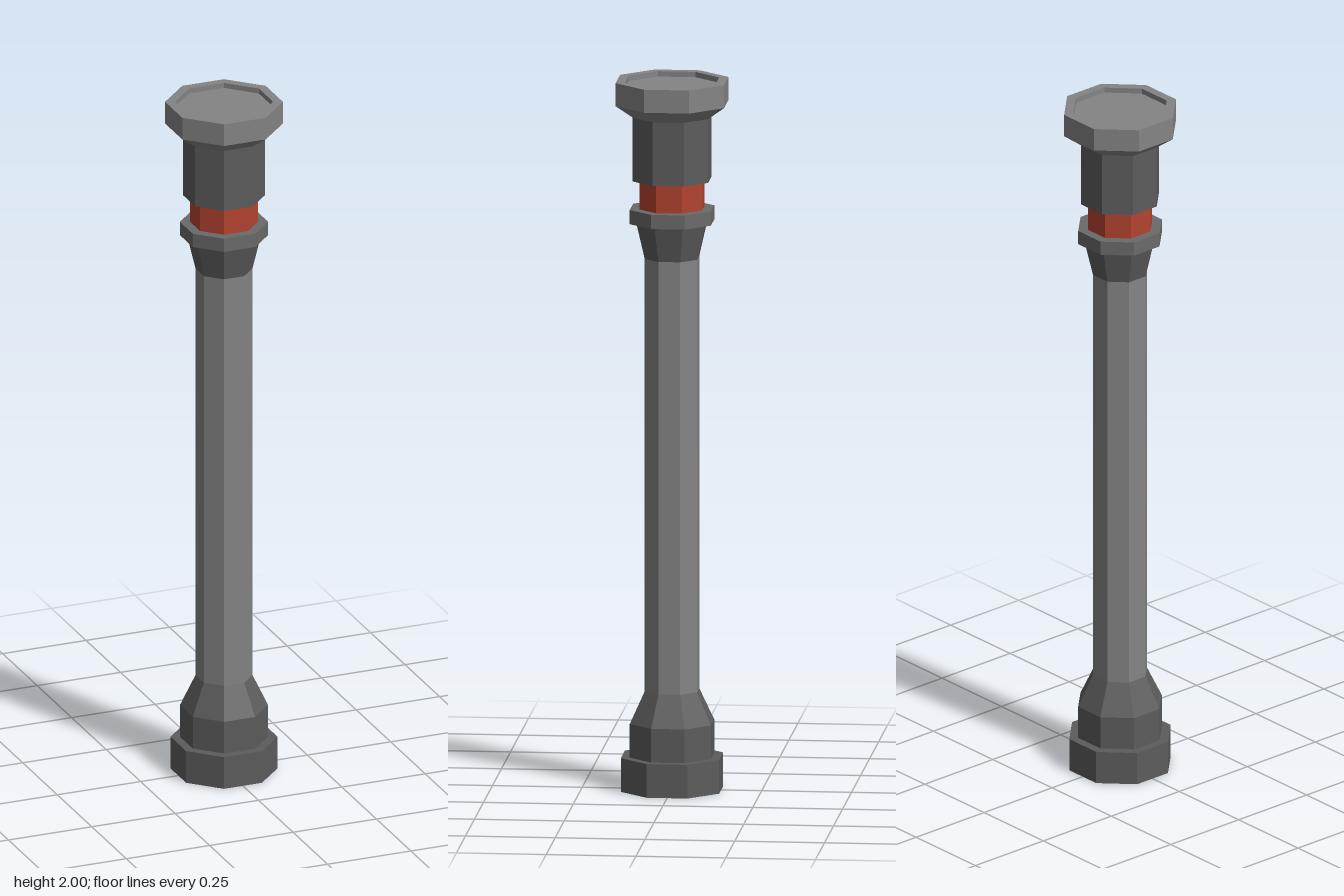
import * as THREE from 'three';

const paint = (name, color) => {
  const m = new THREE.MeshStandardMaterial({ color, side: THREE.DoubleSide });
  m.name = name;
  return m;
};

// Eight-sided faceted shell; profile is [flat-to-centre distance, height] from bottom to top
function octagonShell(name, material, profile) {
  const points = profile.map(([a, y]) => new THREE.Vector2(a / Math.cos(Math.PI / 8), y));
  const geometry = new THREE.LatheGeometry(points, 8, Math.PI / 8).toNonIndexed();
  geometry.computeVertexNormals();
  const mesh = new THREE.Mesh(geometry, material);
  mesh.name = name;
  return mesh;
}

export function createModel() {
  const light = paint('lightGrey', 0x848484);
  const dark = paint('darkGrey', 0x5c5c5c);
  const mid = paint('midGrey', 0x6a6a6a);
  const red = paint('red', 0xb2432f);

  const group = new THREE.Group();
  group.name = 'column';
  group.add(
    // Hollow foot, open underneath, stepping in and tapering to the shaft
    octagonShell('foot', dark, [[0.137, 0], [0.137, 0.095], [0.113, 0.095], [0.113, 0.19], [0.073, 0.28]]),
    octagonShell('shaft', light, [[0.073, 0.28], [0.073, 1.5]]),
    octagonShell('shaftFlare', dark, [[0.073, 1.5], [0.095, 1.6]]),
    octagonShell('collar', mid, [[0.095, 1.6], [0.113, 1.6], [0.113, 1.64], [0.087, 1.64]]),
    octagonShell('redBand', red, [[0.087, 1.64], [0.087, 1.72]]),
    octagonShell('neck', dark, [[0.087, 1.72], [0.105, 1.72], [0.105, 1.9]]),
    // Wide head with a shallow recessed top
    octagonShell('head', light, [[0.105, 1.9], [0.151, 1.935], [0.151, 2], [0.126, 2], [0.126, 1.985], [0, 1.985]]),
  );
  return group;
}
